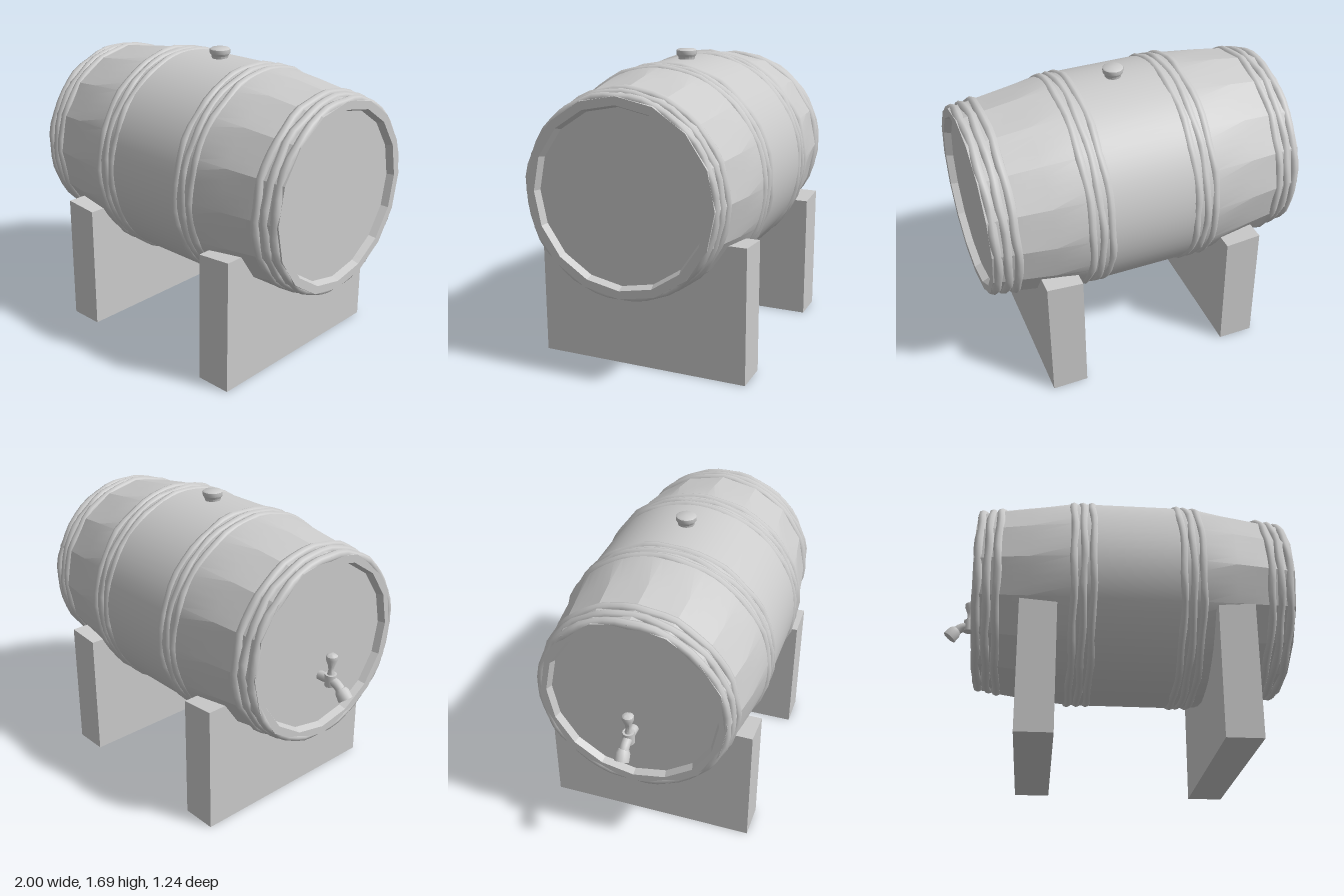
import * as THREE from 'three';
import { toCreasedNormals } from 'three/addons/utils/BufferGeometryUtils.js';

const AXIS_Y = 1.025;
const STAVES = 16;
const mat = new THREE.MeshStandardMaterial({ color: 0xcccccc });

// barrel outline: [x, radius] from one rim to the other
const HULL = [[-0.81, 0.53], [-0.66, 0.557], [-0.5, 0.58], [-0.26, 0.607], [-0.12, 0.609],
  [0.33, 0.609], [0.47, 0.606], [0.66, 0.583], [0.84, 0.556], [1.0, 0.53]];

function hullRadius(x) {
  for (let i = 1; i < HULL.length; i++) {
    const [x0, r0] = HULL[i - 1], [x1, r1] = HULL[i];
    if (x <= x1) return r0 + (r1 - r0) * (x - x0) / (x1 - x0);
  }
  return HULL[HULL.length - 1][1];
}

function part(name, geometry, x = 0, y = 0, z = 0) {
  const mesh = new THREE.Mesh(geometry, mat);
  mesh.name = name;
  mesh.position.set(x, y, z);
  return mesh;
}

function turned(points, segments) {
  return toCreasedNormals(new THREE.LatheGeometry(points.map(p => new THREE.Vector2(...p)), segments), 0.7);
}

// shell with recessed heads: round in the middle, flat staves toward the ends
function barrelGeometry() {
  const profile = [[0, -0.77], [0.47, -0.77], [0.485, -0.81],
    ...HULL.map(([x, r]) => [r, x]), [0.485, 1.0], [0.47, 0.96], [0, 0.96]];
  const g = new THREE.LatheGeometry(profile.map(p => new THREE.Vector2(...p)), STAVES * 4);
  g.rotateZ(-Math.PI / 2);
  const p = g.attributes.position, step = 2 * Math.PI / STAVES;
  for (let i = 0; i < p.count; i++) {
    const x = p.getX(i), a = Math.atan2(p.getZ(i), p.getY(i)) + 4 * Math.PI + 1e-6;
    const flat = Math.cos(step / 2) / Math.cos((a % step) - step / 2);
    const blend = THREE.MathUtils.smoothstep(Math.abs(x - 0.105), 0.35, 0.5);
    const k = 1 + blend * (flat - 1);
    p.setY(i, p.getY(i) * k);
    p.setZ(i, p.getZ(i) * k);
  }
  return toCreasedNormals(g, 0.25);
}

// hoop with a slightly uneven, hand-beaten run
function hoopGeometry(radius, seed) {
  const g = new THREE.TorusGeometry(radius, 0.027, 8, 48);
  const p = g.attributes.position;
  for (let i = 0; i < p.count; i++) {
    const a = Math.atan2(p.getY(i), p.getX(i));
    const k = 1 + 0.005 * Math.sin(16 * a + seed) + 0.003 * Math.sin(11 * a + seed * 2.3);
    p.setXYZ(i, p.getX(i) * k, p.getY(i) * k, p.getZ(i) + 0.004 * Math.sin(9 * a + seed * 1.7));
  }
  g.rotateY(Math.PI / 2);
  return toCreasedNormals(g, 0.9);
}

// cradle board with a round seat and a gently sloped top
function cradleGeometry(side) {
  const w = 0.605, top = 0.757, r = 0.56;
  const a = Math.asin((top - AXIS_Y) / r);
  const s = new THREE.Shape();
  s.moveTo(-w, 0);
  s.lineTo(w, 0);
  s.lineTo(w, top);
  s.lineTo(r * Math.cos(a), top);
  s.absarc(0, AXIS_Y, r, a, -Math.PI - a, true);
  s.lineTo(-w, top);
  s.closePath();
  const g = new THREE.ExtrudeGeometry(s, { depth: 0.205, bevelEnabled: false, curveSegments: 24 });
  g.translate(0, 0, -0.1025);
  g.rotateY(Math.PI / 2);
  const p = g.attributes.position;
  for (let i = 0; i < p.count; i++) {
    if (p.getY(i) > 0.74) p.setY(i, p.getY(i) + side * 0.08 * p.getX(i) + (side > 0 ? 0.005 : -0.014));
  }
  g.computeVertexNormals();
  return g;
}

function makeTap() {
  const tap = new THREE.Group();
  tap.name = 'tap';
  const path = new THREE.CatmullRomCurve3([[-0.75, 0.85], [-0.86, 0.852], [-0.905, 0.838], [-0.945, 0.8]]
    .map(([x, y]) => new THREE.Vector3(x, y, 0)));
  tap.add(part('tapPipe', new THREE.TubeGeometry(path, 16, 0.027, 12)));
  // flared spout pointing down and outward
  const spout = part('tapSpout', turned([[0, -0.035], [0.042, -0.035], [0.04, 0.01], [0.03, 0.03], [0, 0.03]], 12),
    -0.942, 0.806, 0);
  spout.rotation.z = -0.65;
  tap.add(spout);
  tap.add(part('tapCollar', turned([[0, -0.035], [0.034, -0.035], [0.034, 0.035], [0, 0.035]], 12), -0.85, 0.855, 0));
  tap.add(part('tapHandle', turned([[0, 0], [0.024, 0], [0.016, 0.03], [0.018, 0.06], [0.033, 0.1],
    [0.032, 0.12], [0.02, 0.13], [0, 0.132]], 12), -0.85, 0.88, 0));
  return tap;
}

export function createModel() {
  const model = new THREE.Group();
  model.name = 'barrelOnStand';
  model.add(part('barrel', barrelGeometry(), 0, AXIS_Y, 0));

  // four bands of three hoops each
  const hoops = new THREE.Group();
  hoops.name = 'hoops';
  [-0.73, -0.2, 0.41, 0.915].forEach((center, band) => {
    for (let i = -1; i <= 1; i++) {
      const x = center + i * 0.054;
      hoops.add(part('hoop', hoopGeometry(hullRadius(x) - 0.016, band * 3 + i * 1.9), x, AXIS_Y, 0));
    }
  });
  model.add(hoops);

  // stopper on top
  model.add(part('bung', turned([[0, 0], [0.045, 0], [0.047, 0.04], [0.058, 0.055], [0.058, 0.078],
    [0.05, 0.084], [0, 0.084]], 14), 0.113, 1.605, 0));
  model.add(makeTap());
  model.add(part('cradleRight', cradleGeometry(-1), -0.445, 0, 0));
  model.add(part('cradleLeft', cradleGeometry(1), 0.637, 0, 0));
  return model;
}
